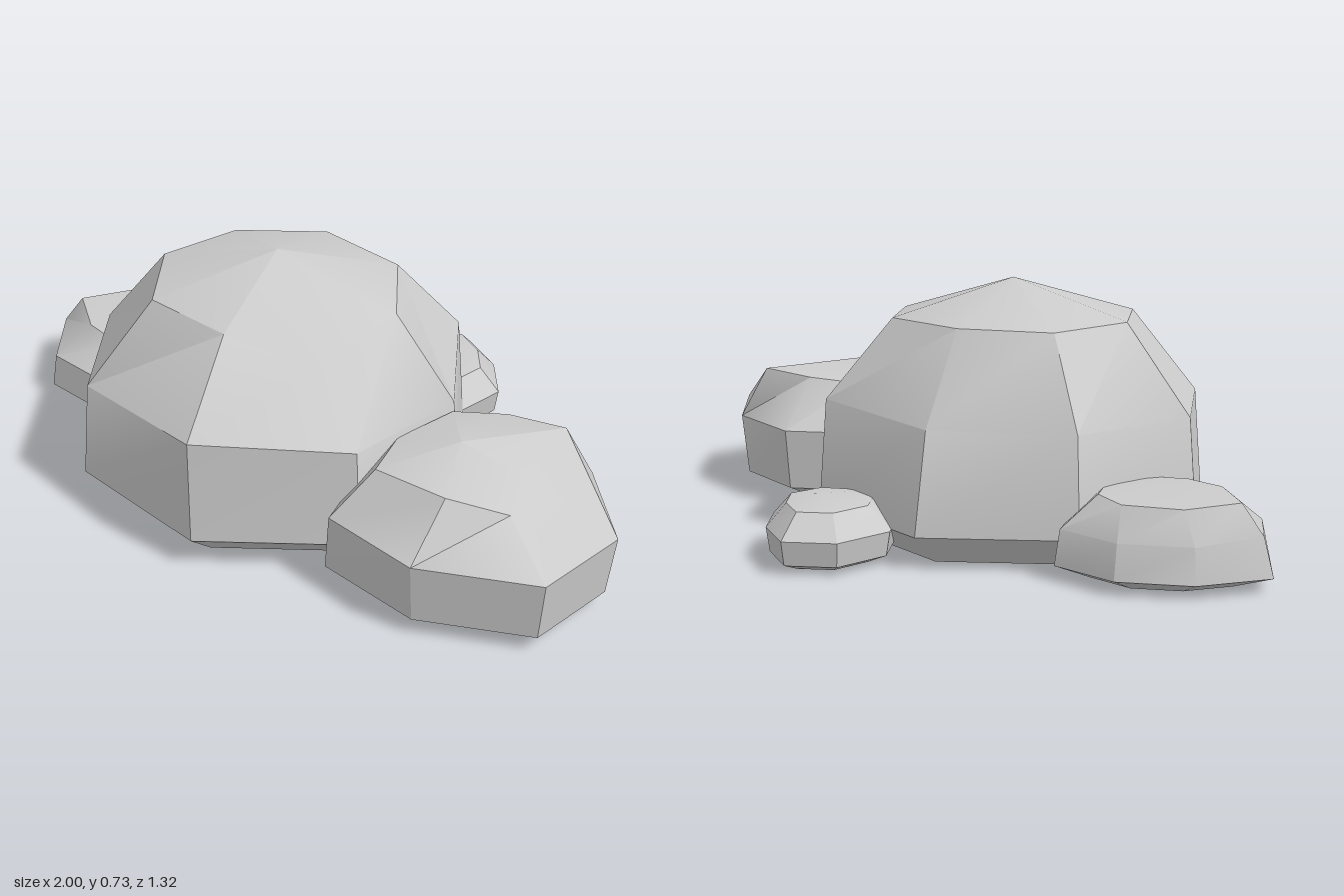
import * as THREE from 'three';
import { toCreasedNormals } from 'three/addons/utils/BufferGeometryUtils.js';

const material = new THREE.MeshStandardMaterial({ color: 0xcccccc });

// A boulder: an eight-cornered outline [x, z], scaled about its centre at each
// level [y, scale], closed by a flat base and an apex. Chips move single
// corners: [level, corner, x, y, z]. Corners run front, right, back, left.
function boulder(name, { apex, outline, levels, chips = [] }) {
  const [cx, , cz] = apex;
  const n = outline.length;
  const rings = levels.map(([y, s]) =>
    outline.map(([x, z]) => [cx + (x - cx) * s, y, cz + (z - cz) * s]));
  for (const [level, corner, ...p] of chips) rings[level][corner] = p;

  const positions = [...rings.flat(2), cx, 0, cz, ...apex];
  const base = rings.length * n, top = base + 1;
  const index = [];
  for (let i = 0; i < n; i++) {
    const j = (i + 1) % n;
    index.push(base, j, i);
    for (let r = 0; r < rings.length - 1; r++) {
      const a = r * n + i, b = r * n + j;
      index.push(a, b, b + n, a, b + n, a + n);
    }
    index.push(base - n + i, base - n + j, top);
  }
  const geometry = new THREE.BufferGeometry();
  geometry.setAttribute('position', new THREE.Float32BufferAttribute(positions, 3));
  geometry.setIndex(index);
  const mesh = new THREE.Mesh(toCreasedNormals(geometry, 0.55), material);
  mesh.name = name;
  return mesh;
}

export function createModel() {
  const group = new THREE.Group();
  group.name = 'rockCluster';

  // Tall domed boulder in the middle
  group.add(boulder('mainBoulder', {
    apex: [-0.09, 0.73, 0.1],
    outline: [[-0.09, 0.64], [0.33, 0.46], [0.47, 0.1], [0.33, -0.28],
      [-0.09, -0.45], [-0.49, -0.26], [-0.67, 0.1], [-0.52, 0.48]],
    levels: [[0, 0.8], [0.095, 1], [0.38, 0.96], [0.625, 0.62]],
    chips: [
      [2, 0, -0.09, 0.41, 0.64], [2, 3, 0.31, 0.4, -0.27], [2, 4, -0.09, 0.38, -0.39],
      [3, 0, -0.09, 0.63, 0.42], [3, 1, 0.15, 0.54, 0.35], [3, 2, 0.27, 0.615, 0.1],
      [3, 4, -0.09, 0.63, -0.22], [3, 6, -0.45, 0.63, 0.1],
    ],
  }));

  // Broad flat rock at the left front, with a notch in its top
  group.add(boulder('flatRock', {
    apex: [0.55, 0.4, 0.3],
    outline: [[0.56, 0.655], [0.9, 0.58], [1, 0.31], [0.84, 0.05],
      [0.6, -0.06], [0.4, 0.02], [0.27, 0.3], [0.28, 0.55]],
    levels: [[0, 0.65], [0.05, 0.95], [0.23, 1], [0.36, 0.65]],
    chips: [
      [1, 6, 0.25, 0.05, 0.3], [1, 7, 0.26, 0.05, 0.53],
      [3, 0, 0.6, 0.38, 0.53], [3, 1, 0.75, 0.32, 0.45], [3, 2, 0.73, 0.33, 0.29],
      [3, 3, 0.77, 0.38, 0.09], [3, 4, 0.6, 0.37, 0.08],
    ],
  }));

  // Low rock at the right rear
  group.add(boulder('lowRock', {
    apex: [-0.67, 0.245, -0.13],
    outline: [[-0.68, 0.12], [-0.47, 0.05], [-0.4, -0.14], [-0.45, -0.33],
      [-0.65, -0.38], [-0.85, -0.31], [-1, -0.15], [-0.9, 0.05]],
    levels: [[0, 0.65], [0.04, 1], [0.14, 0.95], [0.23, 0.6]],
    chips: [
      [2, 6, -0.97, 0.15, -0.15],
      [3, 4, -0.63, 0.225, -0.3], [3, 5, -0.8, 0.23, -0.28],
      [3, 6, -0.91, 0.235, -0.16], [3, 7, -0.8, 0.235, -0.03],
    ],
  }));

  // Small stone behind
  group.add(boulder('smallStone', {
    apex: [0.2, 0.178, -0.44],
    outline: [[0.17, -0.23], [0.33, -0.28], [0.39, -0.42], [0.32, -0.56],
      [0.2, -0.66], [0.06, -0.6], [0, -0.43], [0.06, -0.29]],
    levels: [[0, 0.65], [0.025, 0.94], [0.095, 1], [0.16, 0.66]],
    chips: [[2, 0, 0.17, 0.07, -0.23]],
  }));

  return group;
}
